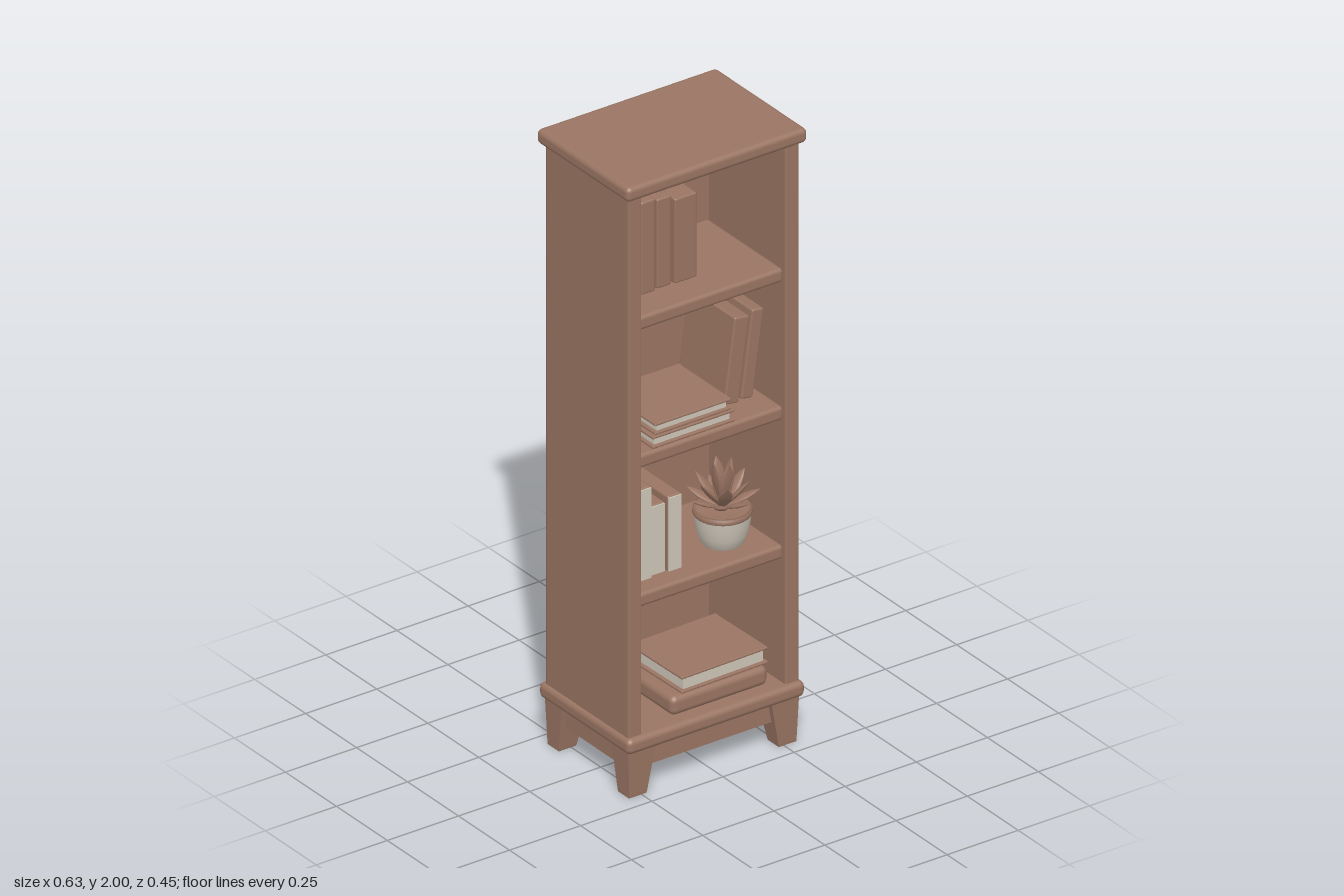
import * as THREE from 'three';
import { RoundedBoxGeometry } from 'three/addons/geometries/RoundedBoxGeometry.js';

export function createModel() {
  const group = new THREE.Group();
  group.name = 'bookcase';
  const material = (name, color) => {
    const m = new THREE.MeshStandardMaterial({ color });
    m.name = name;
    return m;
  };
  const wood = material('warm brown', 0x997462);
  const cream = material('cream', 0xcdc5b8);

  const add = (name, geometry, mat = wood, parent = group) => {
    const mesh = new THREE.Mesh(geometry, mat);
    mesh.name = name;
    parent.add(mesh);
    return mesh;
  };
  // Box from its limits, optionally with rounded edges
  const box = (name, [x0, x1], [y0, y1], [z0, z1], mat = wood, r = 0, parent = group) => {
    const size = [x1 - x0, y1 - y0, z1 - z0];
    const geo = r ? new RoundedBoxGeometry(...size, 3, r) : new THREE.BoxGeometry(...size);
    const mesh = add(name, geo, mat, parent);
    mesh.position.set((x0 + x1) / 2, (y0 + y1) / 2, (z0 + z1) / 2);
    return mesh;
  };

  // Carcass
  box('topBoard', [-0.317, 0.317], [1.953, 2], [-0.226, 0.226], wood, 0.016);
  box('baseBoard', [-0.312, 0.312], [0.15, 0.2], [-0.223, 0.223], wood, 0.018);
  for (const s of [-1, 1]) {
    box('sidePanel', s < 0 ? [-0.3, -0.252] : [0.252, 0.3], [0.19, 1.96], [-0.202, 0.205], wood, 0.006);
  }
  box('backPanel', [-0.26, 0.26], [0.19, 1.96], [-0.2, -0.17]);
  for (const y of [0.648, 1.1, 1.549]) {
    box('shelf', [-0.255, 0.255], [y - 0.045, y], [-0.18, 0.193], wood, 0.012);
  }
  box('plinth', [-0.28, 0.28], [0.08, 0.16], [-0.185, 0.185]);

  // Tapered legs: outer faces upright, inner faces sloping
  for (const sx of [-1, 1]) for (const sz of [-1, 1]) {
    const geo = new RoundedBoxGeometry(1, 0.16, 1, 2, 0.01);
    const p = geo.attributes.position;
    for (let i = 0; i < p.count; i++) {
      const t = (p.getY(i) + 0.08) / 0.16;
      const wx = 0.062 + 0.036 * t, wz = 0.055 + 0.032 * t;
      const ox = 0.294 + 0.006 * t, oz = 0.2 + 0.006 * t;
      p.setX(i, sx * (ox - wx / 2) + p.getX(i) * wx);
      p.setZ(i, sz * (oz - wz / 2) + p.getZ(i) * wz);
    }
    geo.computeVertexNormals();
    add('leg', geo).position.y = 0.08;
  }

  // Upright books: left, right, base, top, front depth, spine painted cream
  const uprights = [
    [-0.252, -0.176, 1.549, 1.835, 0.09, true],
    [-0.172, -0.122, 1.549, 1.85, 0.09, false],
    [-0.113, -0.062, 1.549, 1.84, 0.085, false],
    [-0.054, 0.024, 1.549, 1.825, 0.09, false],
    [-0.252, -0.166, 0.648, 0.947, 0.13, true],
    [-0.162, -0.112, 0.648, 0.875, 0.12, true],
    [-0.108, -0.06, 0.648, 0.892, 0.13, true],
  ];
  for (const [x0, x1, y0, y1, z, pale] of uprights) {
    box('uprightBook', [x0, x1], [y0, y1], [-0.13, z], wood, 0.006);
    if (pale) box('paleSpine', [x0 + 0.002, x1 - 0.002], [y0 + 0.002, y1 - 0.004], [z - 0.004, z + 0.004], cream);
  }

  // Books leaning on the right side
  for (const [x, w, h] of [[0.112, 0.052, 0.275], [0.172, 0.042, 0.282]]) {
    const lean = new THREE.Group();
    lean.name = 'leaningBook';
    box('cover', [0, w], [0, h], [-0.13, 0.1], wood, 0.006, lean);
    lean.position.set(x, 1.106, 0);
    lean.rotation.z = -0.14;
    group.add(lean);
  }

  // Lying books: two covers, a spine at the back and a page block
  const lyingBook = (x, y, z, turn = 0) => {
    const book = new THREE.Group();
    book.name = 'lyingBook';
    const [y0, y1] = y, t = 0.008;
    box('lowerCover', x, [y0, y0 + t], z, wood, 0.003, book);
    box('upperCover', x, [y1 - t, y1], z, wood, 0.003, book);
    box('pages', [x[0] + 0.012, x[1] - 0.012], [y0 + t, y1 - t], [z[0] + 0.006, z[1] - 0.01], cream, 0, book);
    box('spine', x, y, [z[0], z[0] + 0.01], wood, 0, book);
    book.rotation.y = turn;
    group.add(book);
  };
  lyingBook([-0.2, 0.088], [1.1, 1.139], [-0.08, 0.185]);
  lyingBook([-0.188, 0.08], [1.139, 1.176], [-0.075, 0.18]);
  box('thickBook', [-0.128, 0.212], [0.2, 0.262], [-0.09, 0.18], wood, 0.02);
  lyingBook([-0.092, 0.216], [0.262, 0.316], [-0.08, 0.17], 0.02);

  // Potted succulent
  const plant = new THREE.Group();
  plant.name = 'plant';
  plant.position.set(0.12, 0.648, 0.08);
  group.add(plant);
  const lathe = (pts, n = 32) => new THREE.LatheGeometry(pts.map(([r, y]) => new THREE.Vector2(r, y)), n);
  add('pot', lathe([[0, 0], [0.05, 0], [0.062, 0.008], [0.074, 0.04], [0.081, 0.075], [0.084, 0.1]]), cream, plant);
  add('potRim', lathe([[0.083, 0.098], [0.087, 0.104], [0.086, 0.116], [0.08, 0.118], [0.074, 0.105], [0, 0.105]]), wood, plant);

  // Pointed, flattened leaves in three rings
  const leafGeo = lathe([[0, 0], [0.011, 0.02], [0.02, 0.055], [0.022, 0.08], [0.014, 0.11], [0, 0.135]], 12);
  leafGeo.scale(1, 1, 0.35);
  for (const [count, tilt, size, offset] of [[7, 1.12, 0.9, 0.2], [6, 0.68, 0.98, 0.6], [4, 0.2, 1.18, 0]]) {
    for (let i = 0; i < count; i++) {
      const leaf = add('leaf', leafGeo, wood, plant);
      leaf.position.y = 0.115;
      leaf.rotation.set(tilt, offset + (i / count) * Math.PI * 2, 0, 'YXZ');
      leaf.scale.setScalar(size);
    }
  }
  return group;
}
